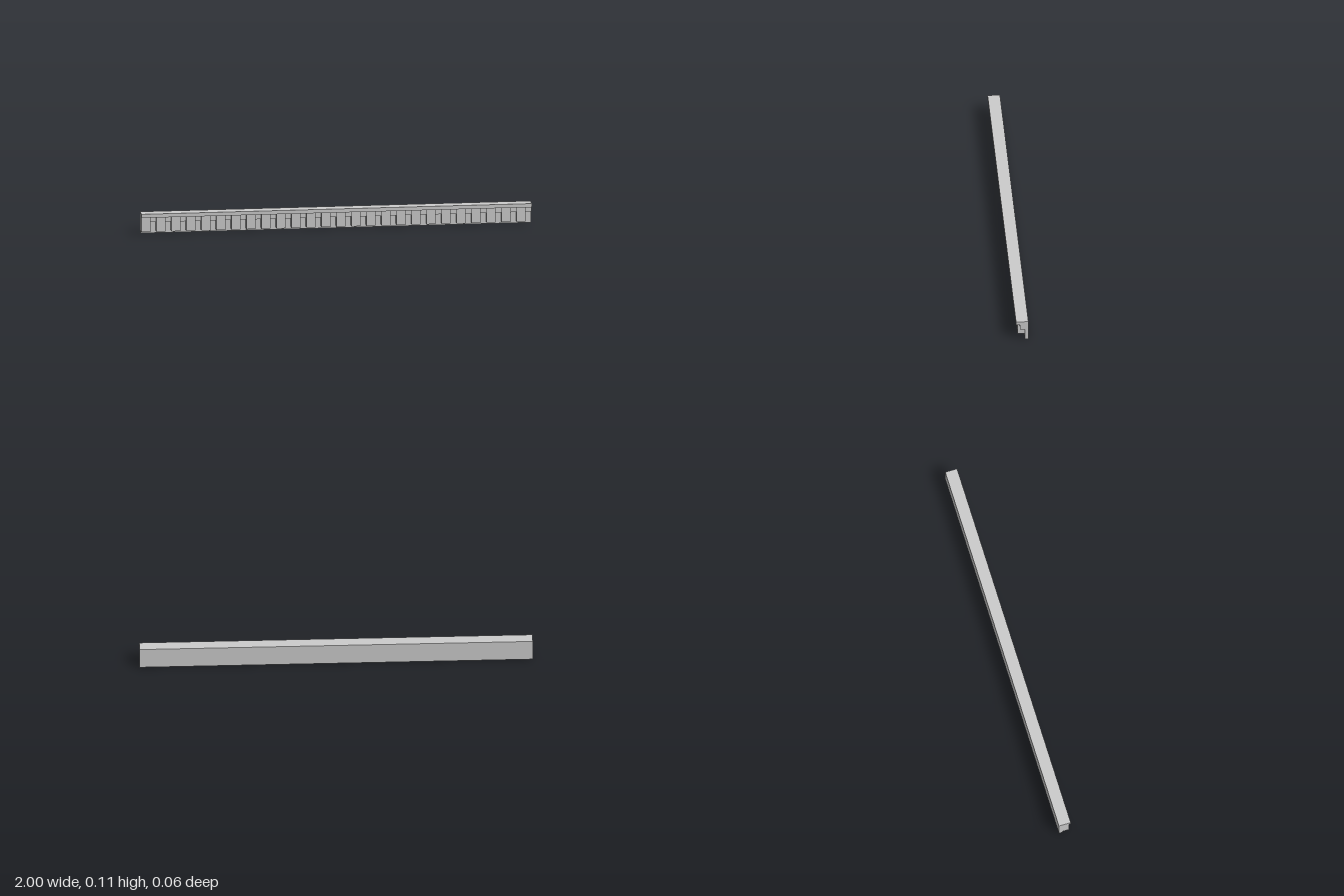
import * as THREE from 'three';

export function createModel() {
  const group = new THREE.Group();
  const material = new THREE.MeshStandardMaterial({ color: 0xcccccc, flatShading: true });
  const length = 2;

  // Stepped moulding profile as [z, y], swept along x
  const profile = [
    [-0.031, 0], [-0.0125, 0], [-0.0125, 0.061], [0.011, 0.061],
    [0.011, 0.089], [0.032, 0.089], [0.032, 0.108], [-0.031, 0.108],
  ];
  const shape = new THREE.Shape(profile.map(([z, y]) => new THREE.Vector2(-z, y)));
  const mouldingGeometry = new THREE.ExtrudeGeometry(shape, { depth: length, bevelEnabled: false });
  mouldingGeometry.translate(0, 0, -length / 2).rotateY(Math.PI / 2);
  const moulding = new THREE.Mesh(mouldingGeometry, material);
  moulding.name = 'moulding';
  group.add(moulding);

  // Row of dentil blocks: each pitch is a block followed by a gap
  const count = 26, pitch = length / count, width = 0.0458;
  const bottom = 0.013, top = 0.089, back = -0.0125, front = 0.023;
  const blockGeometry = new THREE.BoxGeometry(width, top - bottom, front - back);
  const dentils = new THREE.Group();
  dentils.name = 'dentils';
  for (let i = 0; i < count; i++) {
    const block = new THREE.Mesh(blockGeometry, material);
    block.name = 'dentil';
    block.position.set(-length / 2 + i * pitch + width / 2, (top + bottom) / 2, (front + back) / 2);
    dentils.add(block);
  }
  group.add(dentils);

  return group;
}
